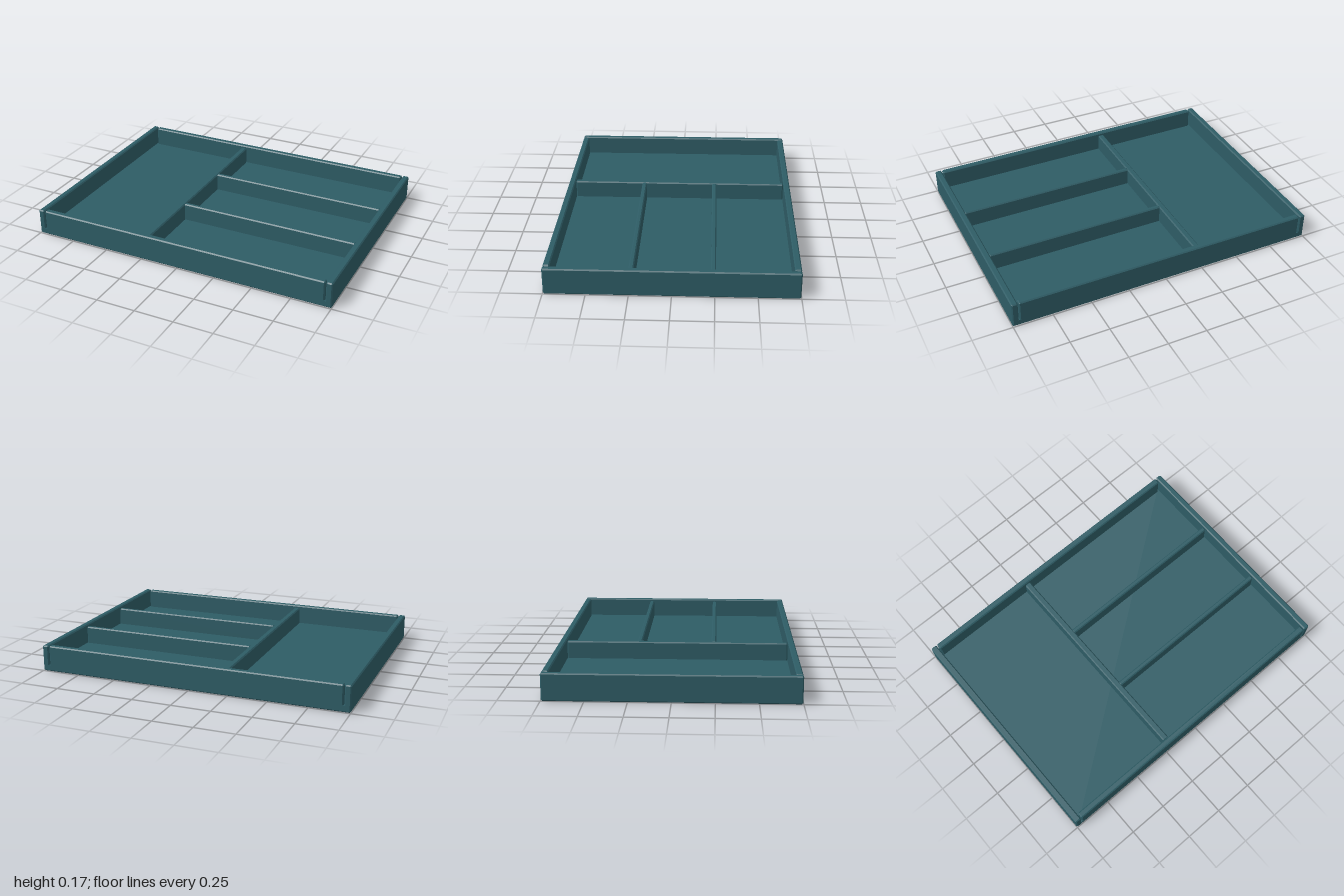
import * as THREE from 'three';
import { ConvexGeometry } from 'three/addons/geometries/ConvexGeometry.js';

const teal = new THREE.MeshStandardMaterial({ color: 0x2e5c65 });
teal.name = 'dark teal';

const BEVEL = 0.007;

// Box with chamfered upright edges, and optionally chamfered top or bottom rims
function bevelBox(name, [x0, x1], [y0, y1], [z0, z1], { top = true, bottom = false } = {}) {
  const b = BEVEL;
  const points = [];
  const ring = (y, inset) => {
    for (const [x, sx] of [[x0, 1], [x1, -1]]) {
      for (const [z, sz] of [[z0, 1], [z1, -1]]) {
        if (inset) {
          points.push(new THREE.Vector3(x + sx * b, y, z + sz * b));
        } else {
          points.push(new THREE.Vector3(x + sx * b, y, z), new THREE.Vector3(x, y, z + sz * b));
        }
      }
    }
  };
  ring(y0, bottom);
  if (bottom) ring(y0 + b, false);
  if (top) ring(y1 - b, false);
  ring(y1, top);
  const mesh = new THREE.Mesh(new ConvexGeometry(points), teal);
  mesh.name = name;
  return mesh;
}

export function createModel() {
  const tray = new THREE.Group();
  tray.name = 'dividedTray';

  const W = 1, D = 0.747, H = 0.166;
  const wall = 0.04, floorTop = 0.04, dividerTop = 0.152;
  const innerX = W - wall - 0.006, innerZ = D - wall;

  // Floor slab
  tray.add(bevelBox('floor', [-W, W], [0, floorTop], [-D, D], { top: false, bottom: true }));

  // Outer walls, with a narrow groove at each corner
  tray.add(
    bevelBox('rightWall', [-W, -W + wall], [floorTop, H], [-D, D]),
    bevelBox('leftWall', [W - wall, W], [floorTop, H], [-D, D]),
    bevelBox('frontWall', [-innerX, innerX], [floorTop, H], [innerZ, D]),
    bevelBox('backWall', [-innerX, innerX], [floorTop, H], [-D, -innerZ]),
  );

  // Long divider from front to back
  tray.add(bevelBox('mainDivider', [-0.245, -0.205], [floorTop, dividerTop], [-innerZ, innerZ]));

  // Two cross dividers making three compartments
  for (const z of [-0.24, 0.236]) {
    tray.add(bevelBox('crossDivider', [-0.212, W - wall], [floorTop, dividerTop], [z - 0.015, z + 0.015]));
  }
  return tray;
}
